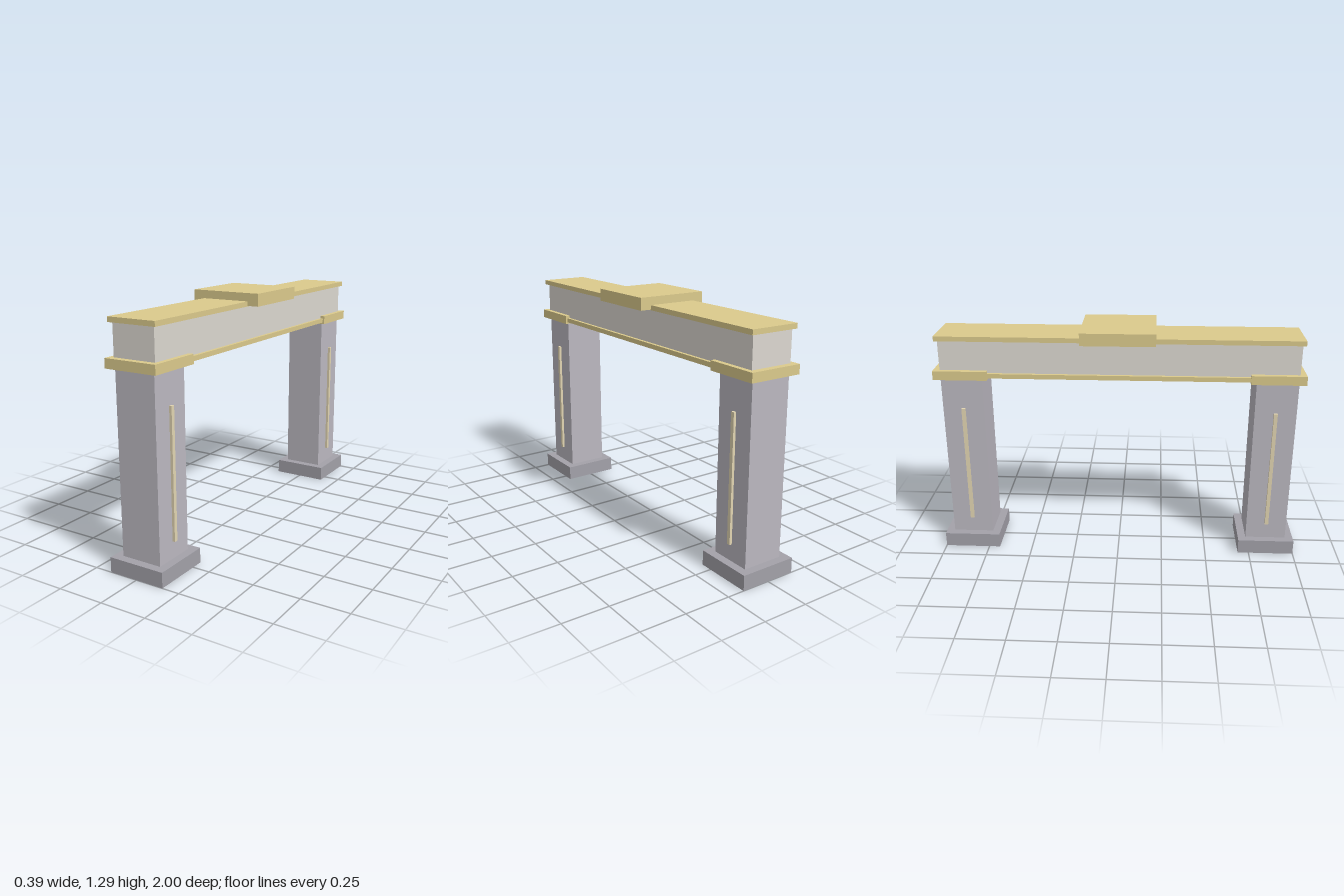
import * as THREE from 'three';

const gold = new THREE.MeshStandardMaterial({ color: 0xdbca8c });
const ivory = new THREE.MeshStandardMaterial({ color: 0xe2d5b2 });
const stone = new THREE.MeshStandardMaterial({ color: 0xbbb8c0 });
const darkStone = new THREE.MeshStandardMaterial({ color: 0xa3a1a9 });
const paleStone = new THREE.MeshStandardMaterial({ color: 0xdcd8d0 });

// Box centred on x, spanning y0..y1, centred at z
function block(name, width, y0, y1, depth, material, x = 0, z = 0) {
  const mesh = new THREE.Mesh(new THREE.BoxGeometry(width, y1 - y0, depth), material);
  mesh.name = name;
  mesh.position.set(x, (y0 + y1) / 2, z);
  return mesh;
}

// Pillar with plinth, capital and a slim light strip on each side
function createPillar(name, z) {
  const pillar = new THREE.Group();
  pillar.name = name;
  pillar.position.z = z;
  pillar.add(
    block('plinth', 0.312, 0, 0.08, 0.312, darkStone),
    block('shaft', 0.224, 0.04, 1.03, 0.224, stone),
    block('capital', 0.29, 1.015, 1.064, 0.29, gold)
  );
  for (const side of [-1, 1]) {
    pillar.add(block(side > 0 ? 'leftStrip' : 'rightStrip', 0.025, 0.17, 0.845, 0.02, ivory, side * 0.1135));
  }
  return pillar;
}

export function createModel() {
  const model = new THREE.Group();
  model.name = 'gateway';

  model.add(createPillar('frontPillar', 0.844), createPillar('backPillar', -0.844));

  // Lintel with gold trims and a central crown block
  model.add(
    block('lintel', 0.236, 1.04, 1.235, 1.91, paleStone),
    block('lowerTrim', 0.27, 1.025, 1.05, 1.94, gold),
    block('upperTrim', 0.27, 1.226, 1.252, 1.94, gold),
    block('crownBlock', 0.394, 1.229, 1.295, 0.394, gold)
  );
  return model;
}
